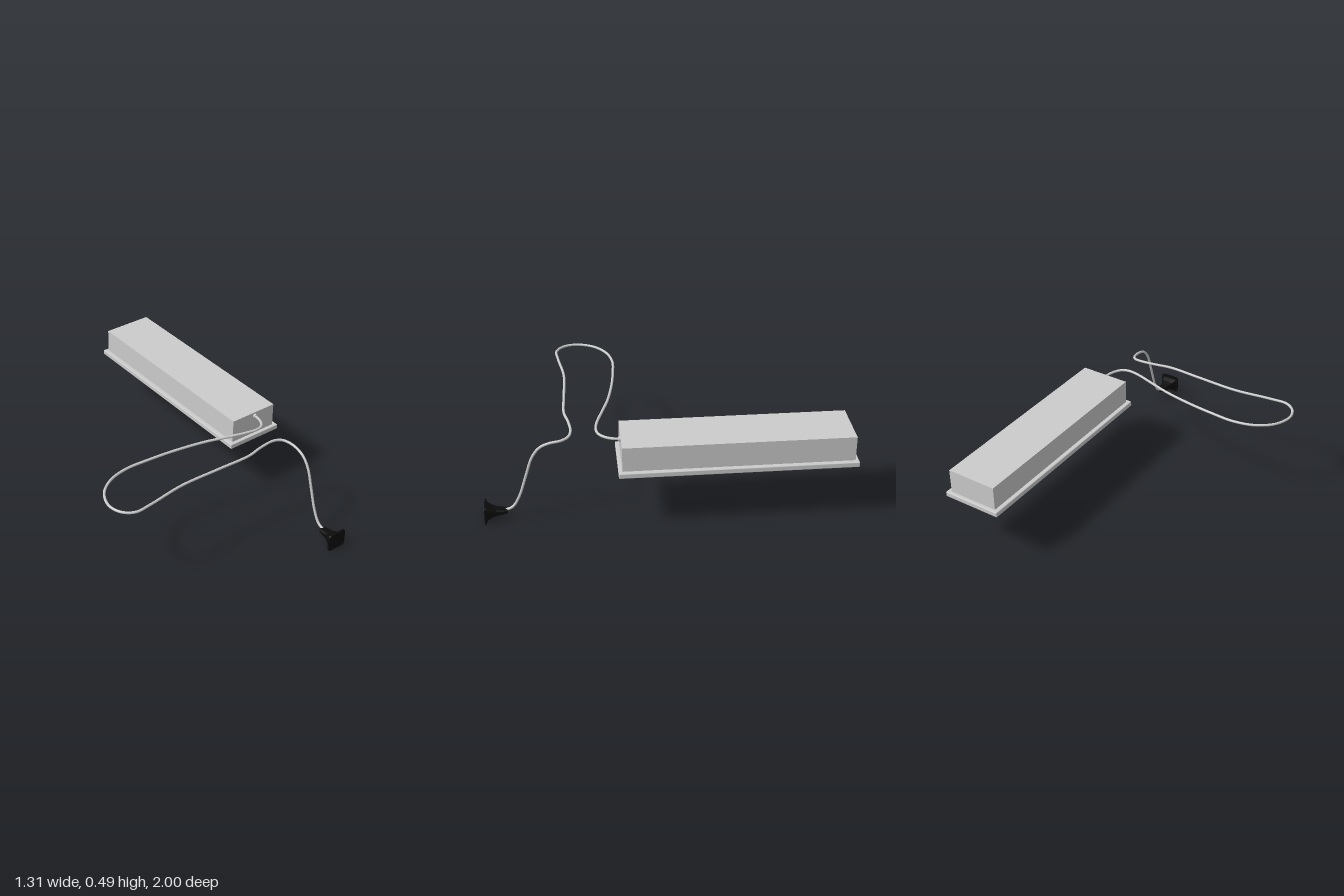
import * as THREE from 'three';
import { RoundedBoxGeometry } from 'three/addons/geometries/RoundedBoxGeometry.js';

const grey = new THREE.MeshStandardMaterial({ color: 0xcccccc });
const black = new THREE.MeshStandardMaterial({ color: 0x0c0c0c });

function part(group, name, geometry, material, x = 0, y = 0, z = 0) {
  const mesh = new THREE.Mesh(geometry, material);
  mesh.name = name;
  mesh.position.set(x, y, z);
  group.add(mesh);
  return mesh;
}

// Skin a row of rounded-square sections [z, halfWidth, halfHeight, squareness], capped at both ends
function loft(sections, sides = 32) {
  const pos = [], index = [];
  const power = (v, n) => Math.sign(v) * Math.abs(v) ** (2 / n);
  for (const [z, w, h, n] of sections) {
    for (let i = 0; i < sides; i++) {
      const a = (i / sides) * Math.PI * 2;
      pos.push(w * power(Math.cos(a), n), h * power(Math.sin(a), n), z);
    }
  }
  for (let s = 0; s < sections.length - 1; s++) {
    for (let i = 0; i < sides; i++) {
      const a = s * sides + i, b = s * sides + (i + 1) % sides;
      index.push(a, b, b + sides, a, b + sides, a + sides);
    }
  }
  const last = (sections.length - 1) * sides;
  for (let i = 1; i < sides - 1; i++) {
    index.push(0, i + 1, i, last, last + i, last + i + 1);
  }
  const g = new THREE.BufferGeometry();
  g.setAttribute('position', new THREE.Float32BufferAttribute(pos, 3));
  g.setIndex(index);
  const flat = g.toNonIndexed();
  flat.computeVertexNormals();
  return flat;
}

export function createModel() {
  const group = new THREE.Group();
  group.name = 'cordedFixture';

  // Long housing on a slightly wider rim plate
  part(group, 'housing', new THREE.BoxGeometry(0.296, 0.145, 1.24), grey, 0.479, 0.4225, -0.36);
  part(group, 'rimPlate', new RoundedBoxGeometry(0.346, 0.03, 1.28, 2, 0.005), grey, 0.479, 0.34, -0.36);

  // Collar where the cord leaves the housing
  part(group, 'cordCollar', new THREE.CylinderGeometry(0.013, 0.013, 0.016, 16), grey, 0.488, 0.473, 0.264)
    .rotation.x = Math.PI / 2;

  // Cord: a flat loop at the top, then a drop to the plug
  const top = 0.487;
  const path = [
    [0.488, 0.473, 0.25], [0.483, 0.474, 0.3], [0.465, 0.477, 0.345], [0.435, 0.481, 0.375],
    [0.39, 0.485, 0.385], [0.32, top, 0.375], [0.2, top, 0.34], [0.08, top, 0.305],
    [-0.1, top, 0.272], [-0.25, top, 0.256], [-0.4, top, 0.25], [-0.52, top, 0.28],
    [-0.61, top, 0.35], [-0.65, top, 0.45], [-0.63, top, 0.53], [-0.57, top, 0.575],
    [-0.47, top, 0.57], [-0.25, top, 0.54], [0, top, 0.545], [0.2, top, 0.55],
    [0.3, top, 0.53], [0.4, 0.484, 0.52], [0.45, 0.477, 0.535], [0.474, 0.47, 0.575],
    [0.479, 0.46, 0.64], [0.479, 0.435, 0.69], [0.479, 0.38, 0.73], [0.479, 0.26, 0.77],
    [0.479, 0.14, 0.81], [0.479, 0.075, 0.85], [0.479, 0.056, 0.9],
  ].map((p) => new THREE.Vector3(...p));
  part(group, 'cord', new THREE.TubeGeometry(new THREE.CatmullRomCurve3(path), 240, 0.0075, 10), grey);

  // Plug: narrow strain relief flaring into a rounded square face
  part(group, 'plug', loft([
    [0.877, 0.017, 0.011, 2.5], [0.884, 0.022, 0.013, 3], [0.905, 0.026, 0.015, 3],
    [0.935, 0.028, 0.02, 3.5], [0.96, 0.038, 0.026, 4], [0.978, 0.048, 0.033, 5],
    [0.989, 0.052, 0.037, 6], [0.99, 0.058, 0.053, 8], [1, 0.058, 0.053, 8],
  ]), black, 0.479, 0.054, 0);

  return group;
}
